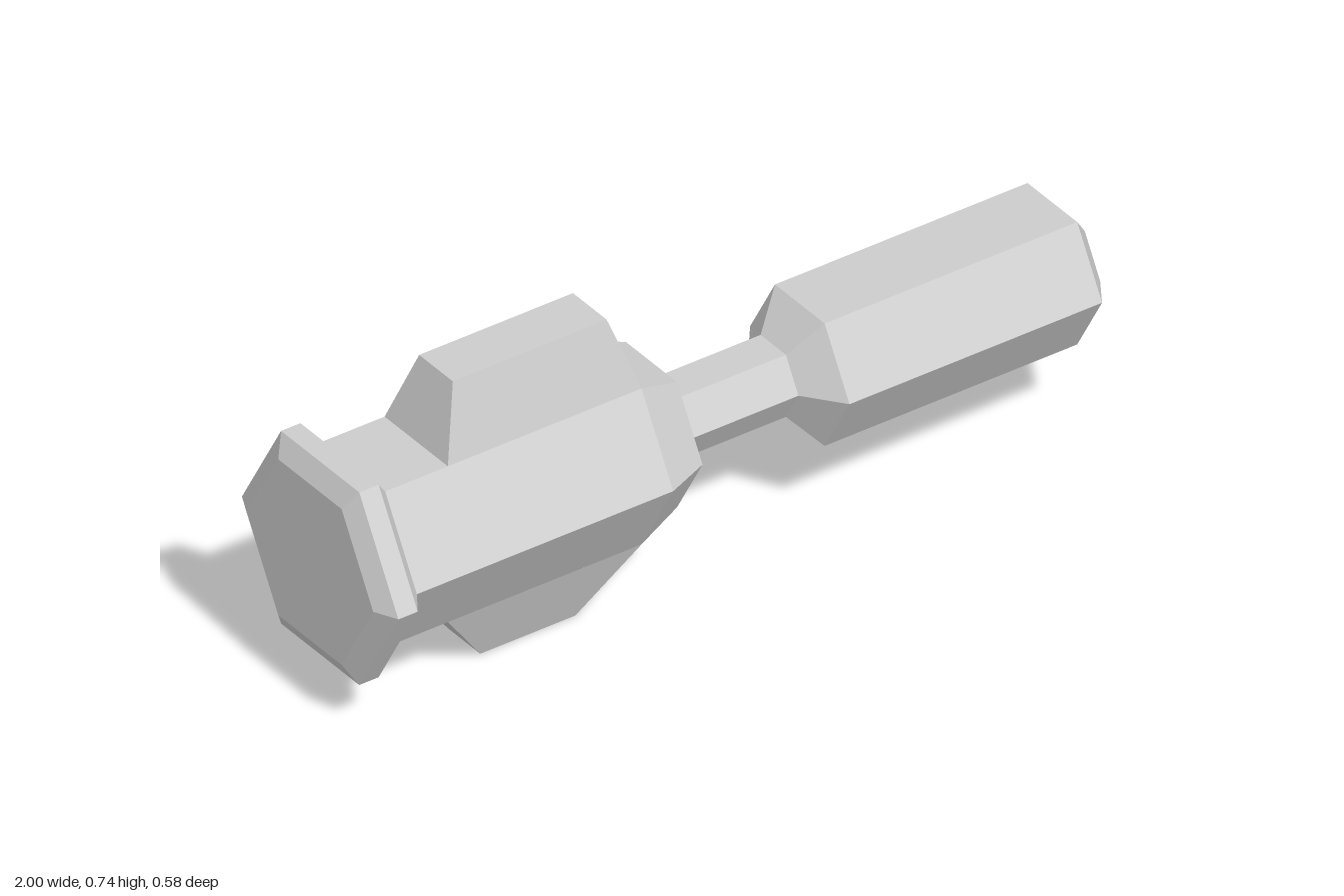
import * as THREE from 'three';

const AXIS_Y = 0.367;
const material = new THREE.MeshStandardMaterial({ color: 0xcccccc, flatShading: true });

// Six-sided turned part along x, from [x, radius] pairs
function hexPart(name, profile) {
  const geometry = new THREE.LatheGeometry(profile.map(([x, r]) => new THREE.Vector2(r, x)), 6);
  geometry.rotateZ(-Math.PI / 2);
  const mesh = new THREE.Mesh(geometry, material);
  mesh.name = name;
  mesh.position.y = AXIS_Y;
  return mesh;
}

// Tapered block: base and tip are { y, x0, x1, z } rectangles
function fin(name, upper, lower) {
  const geometry = new THREE.BoxGeometry(1, 1, 1);
  const p = geometry.attributes.position;
  for (let i = 0; i < p.count; i++) {
    const s = p.getY(i) > 0 ? upper : lower;
    p.setXYZ(i, p.getX(i) > 0 ? s.x1 : s.x0, s.y, Math.sign(p.getZ(i)) * s.z);
  }
  geometry.computeVertexNormals();
  const mesh = new THREE.Mesh(geometry, material);
  mesh.name = name;
  return mesh;
}

export function createModel() {
  const group = new THREE.Group();
  group.name = 'hexTool';

  // Flanged head with a chamfered shoulder
  group.add(hexPart('head', [
    [-1, 0], [-1, 0.233], [-0.973, 0.288], [-0.922, 0.288], [-0.885, 0.233],
    [-0.21, 0.233], [-0.1, 0.187], [-0.075, 0.093],
  ]));
  // Thin neck
  group.add(hexPart('neck', [[-0.075, 0.093], [0.22, 0.093]]));
  // Grip with a tapered recess in its end
  group.add(hexPart('grip', [
    [0.22, 0.093], [0.29, 0.183], [0.955, 0.183], [1, 0.113], [0.95, 0.055], [0.95, 0],
  ]));

  // Fins above and below the head
  const root = { x0: -0.72, x1: -0.21, z: 0.1165 };
  group.add(fin('topFin',
    { y: 0.738, x0: -0.668, x1: -0.263, z: 0.062 }, { ...root, y: AXIS_Y + 0.2018 }));
  group.add(fin('bottomFin',
    { ...root, y: AXIS_Y - 0.2018 }, { y: 0, x0: -0.592, x1: -0.342, z: 0.057 }));
  return group;
}
